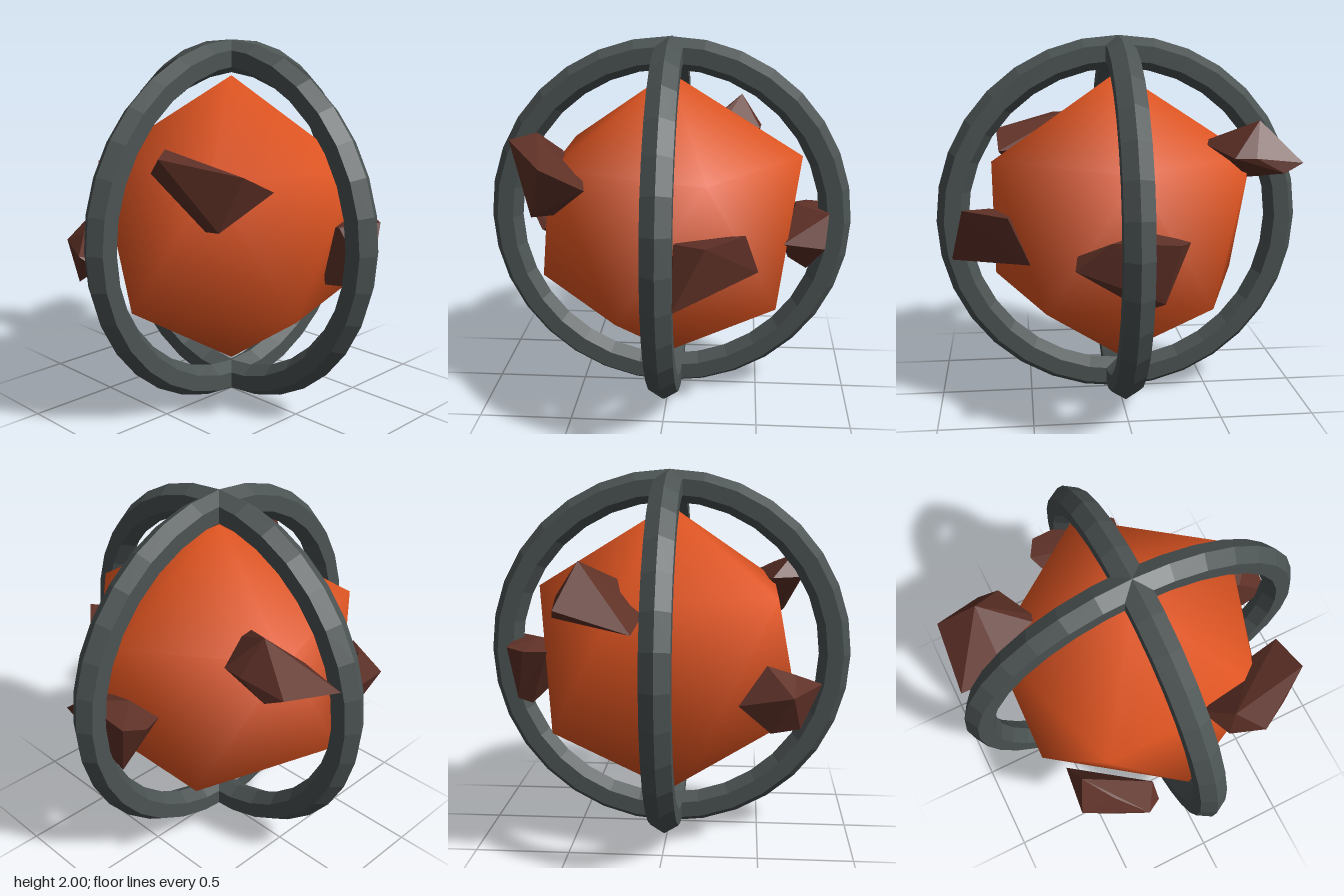
import * as THREE from 'three';
import { ConvexGeometry } from 'three/addons/geometries/ConvexGeometry.js';

const orange = new THREE.MeshStandardMaterial({ name: 'glowing orange', color: 0xe65722 });
const grey = new THREE.MeshStandardMaterial({ name: 'iron grey', color: 0x4c5353, flatShading: true });
const brown = new THREE.MeshStandardMaterial({ name: 'rock brown', color: 0x5f3127, flatShading: true });

const hull = (points) => new ConvexGeometry(points.map((p) => new THREE.Vector3(...p)));

// Icosahedron standing on a vertex, with sphere-like smooth normals
function coreGeometry(radius) {
  const points = [[0, radius, 0], [0, -radius, 0]];
  const ringY = radius / Math.sqrt(5);
  const ringR = ringY * 2;
  for (let i = 0; i < 10; i++) {
    const a = (i * Math.PI) / 5;
    points.push([ringR * Math.cos(a), i % 2 ? -ringY : ringY, ringR * Math.sin(a)]);
  }
  const geometry = hull(points);
  const position = geometry.attributes.position;
  const n = new THREE.Vector3();
  for (let i = 0; i < position.count; i++) {
    n.fromBufferAttribute(position, i).normalize();
    geometry.attributes.normal.setXYZ(i, n.x, n.y, n.z);
  }
  return geometry;
}

// Corner points of each rock shard stuck in the core
const rocks = {
  upperBackRock: [
    [0.39, 1.58, -0.69], [0.48, 1.37, -0.9], [0.11, 1.265, -0.94], [0.5, 1.32, -0.8],
    [0.51, 1.4, -0.65], [0.5, 1.4, -0.54], [0.28, 1.44, -0.44], [0.225, 1.46, -0.45],
    [0.17, 1.245, -0.67], [0.085, 1.31, -0.69],
  ],
  upperRightRock: [
    [-0.81, 1.5, 0.33], [-0.68, 1.52, 0.23], [-0.73, 1.4, 0.18], [-0.57, 1.4, 0.11],
    [-0.37, 1.325, 0.66], [-0.59, 1.43, 0.675], [-0.655, 1.16, 0.575], [-0.575, 1.12, 0.4],
    [-0.4, 1.33, 0.5],
  ],
  frontRock: [
    [0.07, 0.8, 0.92], [0.07, 1.08, 0.71], [0.23, 1.105, 0.85], [0.42, 1.1, 0.61],
    [0.49, 0.87, 0.5], [0.04, 0.77, 0.65], [0.1, 1.06, 0.57], [0.3, 0.85, 0.5],
  ],
  leftRock: [
    [0.84, 0.93, 0.295], [0.62, 0.945, 0.27], [0.87, 1.07, 0.12], [0.7, 1.08, -0.06],
    [0.77, 1.04, -0.27], [0.87, 1.05, -0.21], [0.65, 1.03, -0.225], [0.83, 0.75, -0.14],
    [0.77, 0.7, -0.05], [0.66, 0.8, 0.05],
  ],
  backRightRock: [
    [-0.39, 0.85, -0.6], [-0.665, 0.9, -0.63], [-0.825, 0.9, -0.305], [-0.77, 0.84, -0.22],
    [-0.675, 0.87, -0.21], [-0.53, 1.05, -0.56], [-0.68, 0.98, -0.45], [-0.707, 0.7, -0.47],
    [-0.554, 0.7, -0.56],
  ],
};

export function createModel() {
  const model = new THREE.Group();
  model.name = 'cagedCore';
  const add = (name, geometry, material, y = 0) => {
    const mesh = new THREE.Mesh(geometry, material);
    mesh.name = name;
    mesh.position.y = y;
    model.add(mesh);
    return mesh;
  };

  add('core', coreGeometry(0.81), orange, 1);

  // Two crossed upright rings with a six-sided section
  const ring = new THREE.TorusGeometry(0.913, 0.087, 6, 32);
  add('sideRing', ring, grey, 1);
  add('frontBackRing', ring, grey, 1).rotation.y = Math.PI / 2;

  for (const [name, points] of Object.entries(rocks)) add(name, hull(points), brown);
  return model;
}
